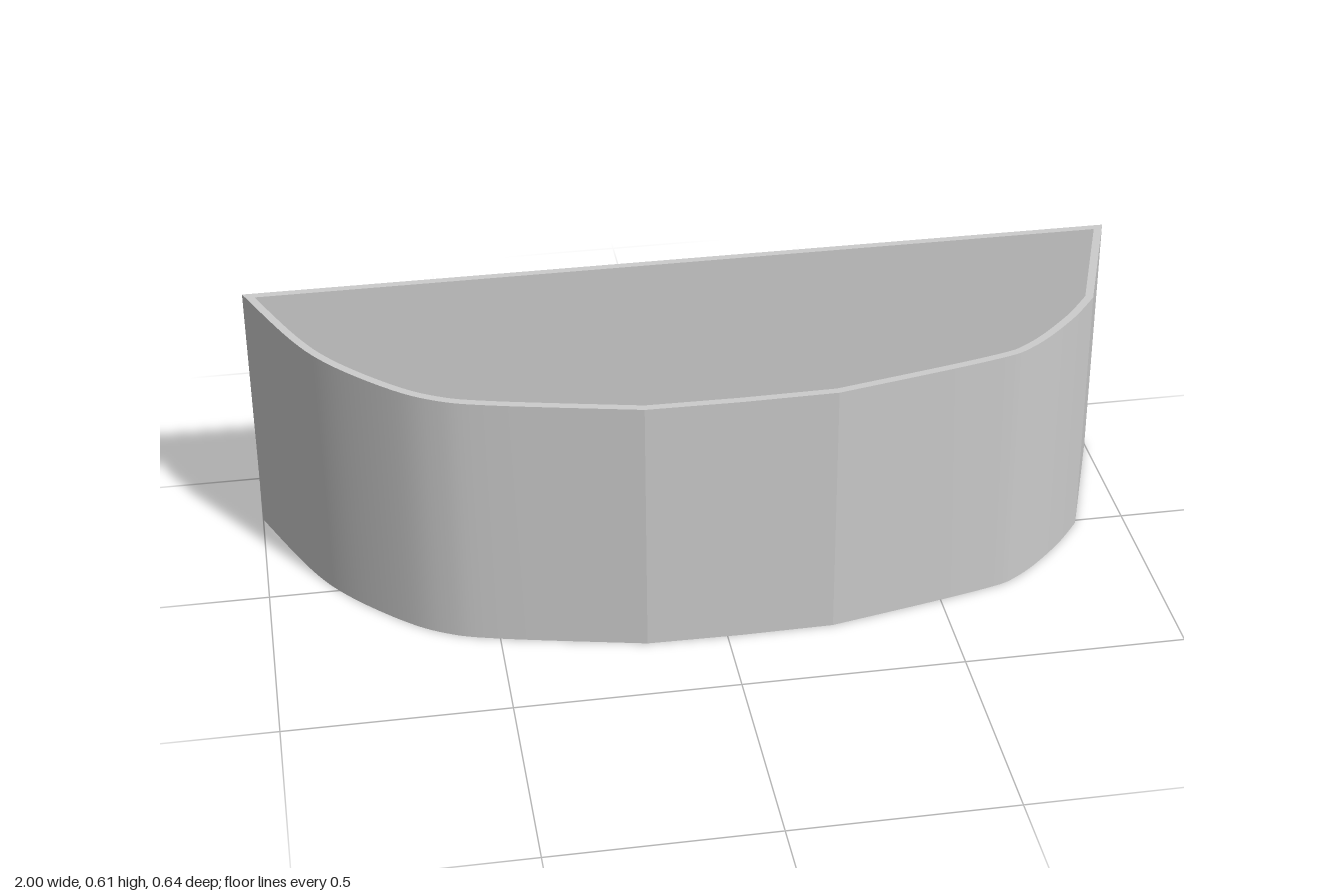
import * as THREE from 'three';
import { toCreasedNormals } from 'three/addons/utils/BufferGeometryUtils.js';

const HEIGHT = 0.61;
const WALL = 0.018;

// Inset a counter-clockwise outline by t, mitring the corners
function inset(points, t) {
  const n = points.length;
  const normal = (a, b) => new THREE.Vector2(a.y - b.y, b.x - a.x).normalize();
  return points.map((p, i) => {
    const n1 = normal(points[(i + n - 1) % n], p);
    const n2 = normal(p, points[(i + 1) % n]);
    const miter = n1.clone().add(n2).multiplyScalar(t / (1 + n1.dot(n2)));
    return p.clone().add(miter);
  });
}

const toPoints = (list) => list.map(([x, z]) => new THREE.Vector2(x, -z));

export function createModel() {
  const group = new THREE.Group();
  group.name = 'planter';

  // Plan outline: straight back, bowed left and right sides, flat front
  const outline = new THREE.Shape();
  outline.moveTo(-1, 0.32);
  outline.splineThru(toPoints([
    [-0.905, -0.105], [-0.83, 0.015], [-0.715, 0.135], [-0.62, 0.203], [-0.5, 0.245], [-0.18, 0.317],
  ]));
  outline.lineTo(0.03, -0.32);
  outline.lineTo(0.24, -0.317);
  outline.splineThru(toPoints([
    [0.594, 0.24], [0.7, 0.197], [0.81, 0.1], [0.885, 0.01],
  ]));
  outline.lineTo(1, 0.32);

  // Thin upright wall, open above and below
  const outer = outline.getPoints(6);
  const wallShape = new THREE.Shape(outer);
  wallShape.holes.push(new THREE.Path(inset(outer, WALL)));
  const geometry = new THREE.ExtrudeGeometry(wallShape, { depth: HEIGHT, bevelEnabled: false });
  geometry.rotateX(-Math.PI / 2);

  const wall = new THREE.Mesh(
    toCreasedNormals(geometry, 0.16),
    new THREE.MeshStandardMaterial({ color: 0xcccccc }),
  );
  wall.name = 'wall';
  group.add(wall);
  return group;
}
